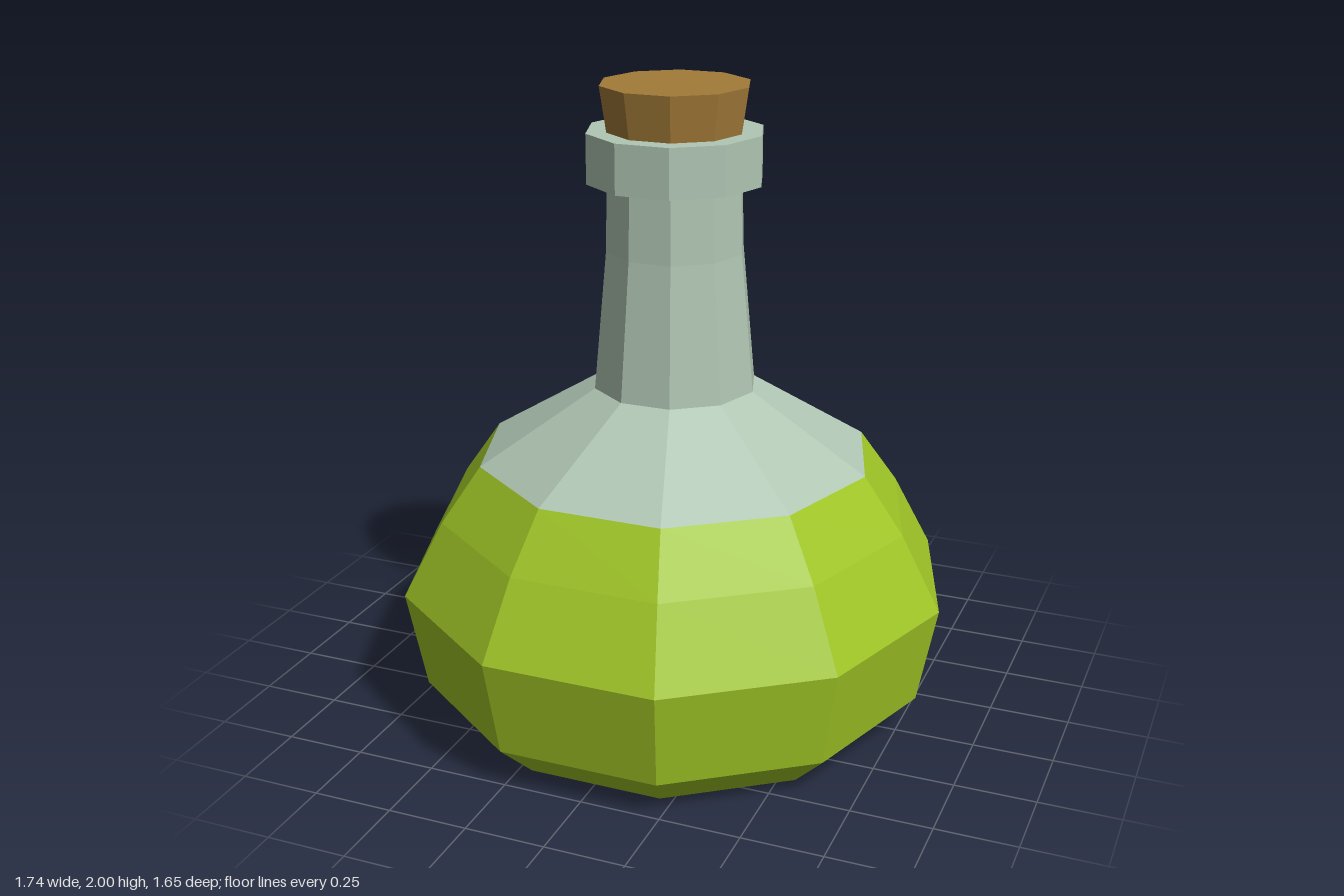
import * as THREE from 'three';

const SIDES = 10;

const liquidGreen = new THREE.MeshStandardMaterial({ color: 0x9fc526 });
liquidGreen.name = 'liquidGreen';
const paleGlass = new THREE.MeshStandardMaterial({ color: 0xb0c6b3 });
paleGlass.name = 'paleGlass';
const corkBrown = new THREE.MeshStandardMaterial({ color: 0xa27a38 });
corkBrown.name = 'corkBrown';

// Faceted ten-sided turning from a bottom-to-top [radius, height] profile
function turned(name, profile, material) {
  const points = profile.map(([r, y]) => new THREE.Vector2(r, y));
  const geometry = new THREE.LatheGeometry(points, SIDES, Math.PI / 2).toNonIndexed();
  geometry.computeVertexNormals();
  const mesh = new THREE.Mesh(geometry, material);
  mesh.name = name;
  return mesh;
}

export function createModel() {
  const bottle = new THREE.Group();
  bottle.name = 'potionBottle';

  // Filled belly with a flat base
  bottle.add(turned('filledBelly', [
    [0, 0], [0.68, 0], [0.81, 0.125], [0.87, 0.435], [0.745, 0.67], [0.62, 0.845],
  ], liquidGreen));

  // Empty glass above the liquid
  bottle.add(turned('shoulder', [[0.62, 0.845], [0.255, 1.07]], paleGlass));
  bottle.add(turned('neck', [[0.255, 1.07], [0.215, 1.5], [0.21, 1.71]], paleGlass));

  // Collar around the mouth
  bottle.add(turned('lip', [
    [0.2, 1.71], [0.272, 1.71], [0.272, 1.862], [0.19, 1.862],
  ], paleGlass));

  // Tapered stopper
  bottle.add(turned('cork', [[0, 1.8], [0.2, 1.8], [0.23, 2], [0, 2]], corkBrown));

  return bottle;
}
